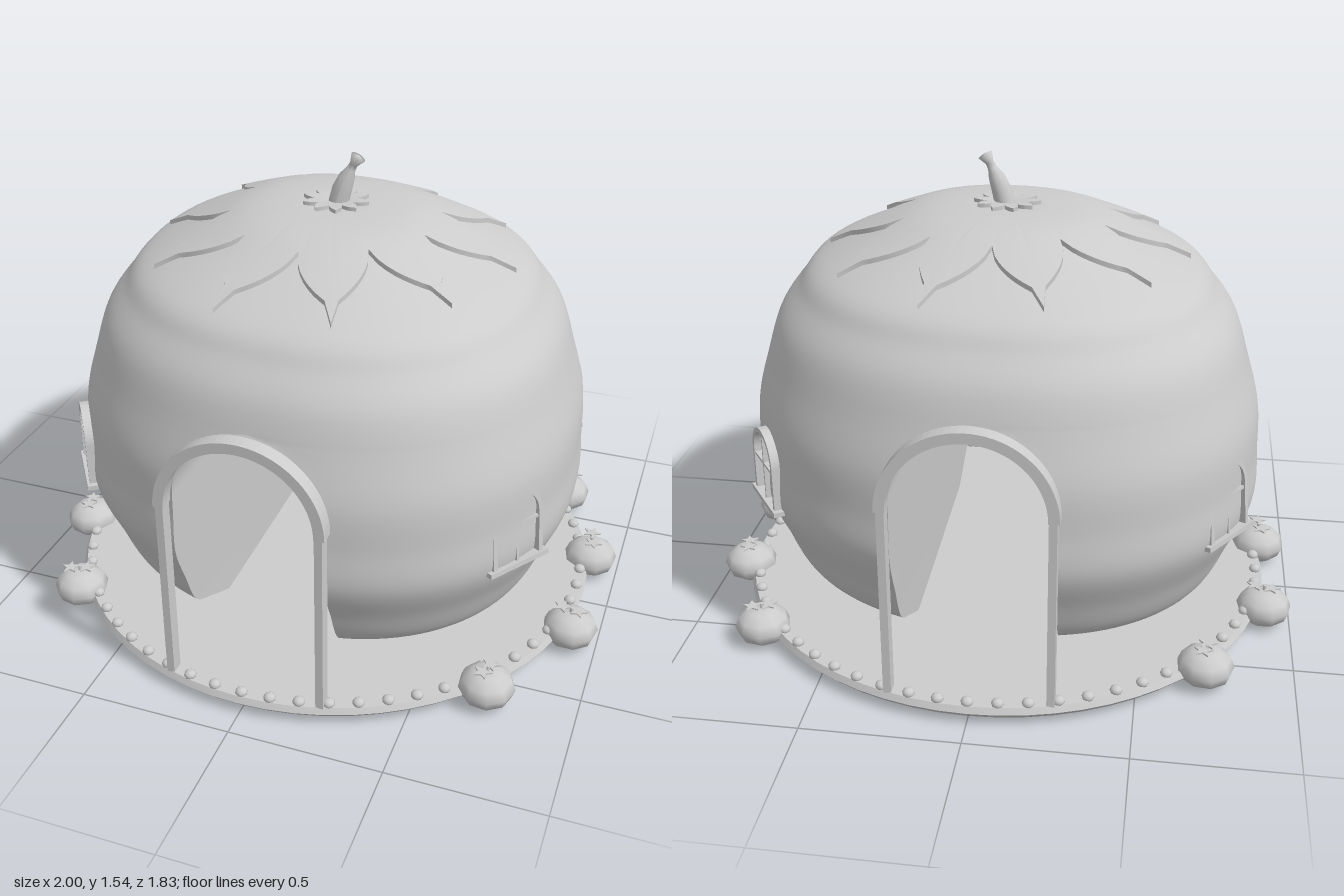
import * as THREE from 'three';
import { mergeVertices, toCreasedNormals } from 'three/addons/utils/BufferGeometryUtils.js';

const SX = 0.857, SZ = 0.84, POW = 2.27, SKEW = 0.032;
const DOOR_R = 0.25, SPRING = 0.69;

// Body profile: radius fraction, height
const profile = new THREE.SplineCurve([
  [0.58, 0.07], [0.72, 0.137], [0.855, 0.21], [0.93, 0.345], [0.992, 0.48], [0.99, 0.62],
  [0.981, 0.76], [0.937, 0.9], [0.887, 1.03], [0.812, 1.12], [0.727, 1.2],
  [0.5, 1.29], [0.32, 1.345], [0.12, 1.36], [0, 1.35],
].map(p => new THREE.Vector2(...p))).getSpacedPoints(140);

function bodyPoint(rho, phi) {
  const s = Math.sin(phi), c = Math.cos(phi);
  const x = SX * rho * Math.sign(s) * Math.abs(s) ** (2 / POW);
  const z = SZ * rho * Math.sign(c) * Math.abs(c) ** (2 / POW);
  const k = 1 + SKEW * 2 * x * z / (x * x + z * z + 1e-9);
  return [x * k, z * k];
}

// Height of the body's upper surface above a point
function roofHeight(x, z) {
  const k = 1 + SKEW * 2 * x * z / (x * x + z * z + 1e-9);
  const rho = (Math.abs(x / k / SX) ** POW + Math.abs(z / k / SZ) ** POW) ** (1 / POW);
  for (let i = profile.length - 1; i > 0; i--) {
    const a = profile[i], b = profile[i - 1];
    if (rho <= b.x) return a.y + (b.y - a.y) * (rho - a.x) / (b.x - a.x);
  }
  return 1;
}

// Quad grid from a rule; patches are joined at shared points
function gridSurface(rows, cols, patches, rule) {
  const pos = [], index = [];
  for (let p = 0; p < patches; p++) {
    const base = pos.length / 3;
    for (let i = 0; i <= rows; i++) for (let j = 0; j <= cols; j++) {
      pos.push(...rule(i, j, p));
      if (i === rows || j === cols) continue;
      const a = base + i * (cols + 1) + j, c = a + cols + 1;
      index.push(a, a + 1, c, a + 1, c + 1, c);
    }
  }
  const g = new THREE.BufferGeometry();
  g.setAttribute('position', new THREE.Float32BufferAttribute(pos, 3));
  g.setIndex(index);
  const m = mergeVertices(g, 1e-4);
  m.computeVertexNormals();
  return m;
}

// Two half shells between the front and back openings; with a single
// column they become straight walls joining the two openings
function shellGeometry(rows, cols) {
  return gridSurface(rows, cols, 2, (i, j, side) => {
    const { x: rho, y } = profile[i];
    const up = Math.max(0, y - SPRING);
    const half = up < DOOR_R ? Math.sqrt(DOOR_R ** 2 - up ** 2) : 0;
    const start = half ? Math.asin((half / (SX * rho)) ** (POW / 2)) : 0;
    const phi = side * Math.PI + start + (Math.PI - 2 * start) * j / cols;
    const [x, z] = bodyPoint(Math.max(rho, 0), phi);
    return [x, y, z];
  });
}

// Star-shaped sheet of ten petals draped over the roof, with thin spikes at the tips
function petalSheet(tip, valley, spike, lift, skirt) {
  const cols = 160, rows = 14;
  const g = gridSurface(rows, cols, 1, (i, j) => {
    const a = j / cols * Math.PI * 2, t = Math.abs(((j + 8) % 16) - 8) / 8;
    const edge = valley + (tip - valley) * (1 - t) ** 0.7 + (t === 0 ? spike : 0);
    const r = edge * (1 - Math.max(0, i - 1) / (rows - 1));
    const x = r * Math.cos(a), z = -r * Math.sin(a);
    return [x, roofHeight(x, z) + lift - (i === 0 ? skirt : 0), z];
  });
  return toCreasedNormals(g, 0.7);
}

// Arch band; legs extend below the springing line
function archGeometry(outer, inner, leg, depth) {
  const s = new THREE.Shape();
  s.moveTo(outer, -leg);
  s.lineTo(outer, 0);
  s.absarc(0, 0, outer, 0, Math.PI, false);
  s.lineTo(-outer, -leg);
  s.lineTo(-inner, -leg);
  s.lineTo(-inner, 0);
  s.absarc(0, 0, inner, Math.PI, 0, true);
  s.lineTo(inner, -leg);
  s.closePath();
  return new THREE.ExtrudeGeometry(s, { depth, bevelEnabled: false, curveSegments: 20 });
}

function starGeometry(r) {
  const s = new THREE.Shape();
  for (let i = 0; i < 10; i++) {
    const a = i * Math.PI / 5, q = i % 2 ? r * 0.45 : r;
    s[i ? 'lineTo' : 'moveTo'](q * Math.cos(a), q * Math.sin(a));
  }
  return new THREE.ExtrudeGeometry(s, { depth: 0.005, bevelEnabled: false }).rotateX(-Math.PI / 2);
}

export function createModel() {
  const model = new THREE.Group();
  const grey = new THREE.MeshStandardMaterial({ color: 0xcccccc, side: THREE.DoubleSide });
  grey.name = 'plain grey';
  const add = (parent, name, geo, x = 0, y = 0, z = 0) => {
    const m = new THREE.Mesh(geo, grey);
    m.name = name;
    m.position.set(x, y, z);
    parent.add(m);
    return m;
  };
  const group = name => {
    const g = new THREE.Group();
    g.name = name;
    model.add(g);
    return g;
  };

  // Body, and the vaulted passage running through it
  add(model, 'body', shellGeometry(profile.length - 1, 48));
  add(model, 'passage', shellGeometry(profile.findIndex(p => p.y > SPRING + DOOR_R), 1));
  add(model, 'leafCrown', petalSheet(0.54, 0.34, 0.06, 0.016, 0.03));
  add(model, 'stemCollar', petalSheet(0.11, 0.065, 0, 0.028, 0.013));

  // Bent stem with a flared tip
  const stem = new THREE.LatheGeometry([
    [0.036, 1.34], [0.032, 1.42], [0.025, 1.462], [0.014, 1.49],
    [0.012, 1.507], [0.022, 1.532], [0, 1.537],
  ].map(p => new THREE.Vector2(...p)), 12);
  const sp = stem.attributes.position;
  for (let i = 0; i < sp.count; i++) {
    const h = sp.getY(i) - 1.34, x = sp.getX(i);
    sp.setX(i, x + 0.15 * h + 1.2 * h * h);
    sp.setY(i, sp.getY(i) - x * 3 * h);
  }
  stem.computeVertexNormals();
  add(model, 'stem', stem);

  // Round base with a bead border
  add(model, 'base', toCreasedNormals(new THREE.LatheGeometry([
    [0, 0.02], [0.895, 0.02], [0.915, 0.042], [0.905, 0.062], [0, 0.062],
  ].map(p => new THREE.Vector2(...p)), 64), 0.4));
  const beads = group('beadBorder');
  const bead = new THREE.SphereGeometry(0.02, 10, 6).scale(1, 0.8, 1);
  for (let i = 0; i < 60; i++) {
    const a = i * Math.PI / 30;
    add(beads, 'bead', bead, 0.888 * Math.sin(a), 0.068, 0.888 * Math.cos(a));
  }

  // Door frames, front and back
  const arch = archGeometry(0.272, 0.238, 0, 0.05);
  const post = new THREE.BoxGeometry(0.025, SPRING - 0.06, 0.044);
  for (const turn of [0, Math.PI]) {
    const door = group(turn ? 'backDoorFrame' : 'frontDoorFrame');
    door.rotation.y = turn;
    add(door, 'doorArch', arch, 0, SPRING, 0.82);
    for (const s of [-1, 1]) add(door, 'doorPost', post, s * 0.252, (SPRING + 0.06) / 2, 0.848);
  }

  // Arched windows on the four diagonals; two lean back so their tops sink into the wall
  const frame = archGeometry(0.1, 0.085, 0.15, 0.03);
  for (const [sx, sz, r, lean] of [
    [1, -1, 0.858, 0], [-1, 1, 0.858, 0], [1, 1, 0.948, -0.1], [-1, -1, 0.948, -0.1],
  ]) {
    const win = group('window');
    win.position.set(sx * r * 0.838, 0, sz * r * 0.545);
    win.rotation.set(lean, Math.atan2(sx * 0.82, sz * 0.57), 0, 'YXZ');
    add(win, 'windowFrame', frame, 0, 0.635, -0.015);
    add(win, 'windowSill', new THREE.BoxGeometry(0.235, 0.016, 0.04), 0, 0.482, 0.003);
    add(win, 'uprightBar', new THREE.BoxGeometry(0.009, 0.24, 0.024), 0, 0.605, 0);
    add(win, 'crossBar', new THREE.BoxGeometry(0.18, 0.009, 0.024), 0, 0.615, 0);
  }

  // Small fruits around the base, each with star leaves
  const fruitGeo = new THREE.SphereGeometry(0.092, 9, 6).scale(1, 0.7, 1);
  const star = starGeometry(0.032);
  [[0.74, -0.57], [0.905, -0.19], [0.91, 0.23], [0.715, 0.6]].forEach(([x, z], i) => {
    for (const s of [1, -1]) {
      const fruit = group('smallFruit');
      fruit.position.set(s * x, 0.065, s * z);
      fruit.rotation.y = i * 1.3 + (s < 0 ? Math.PI : 0);
      add(fruit, 'fruit', fruitGeo);
      add(fruit, 'fruitStem', new THREE.CylinderGeometry(0.006, 0.009, 0.03, 6), 0, 0.064, 0);
      add(fruit, 'starLeaf', star, -0.018, 0.066, 0.012);
      add(fruit, 'starLeaf', star, 0.028, 0.073, -0.015);
    }
  });
  return model;
}
